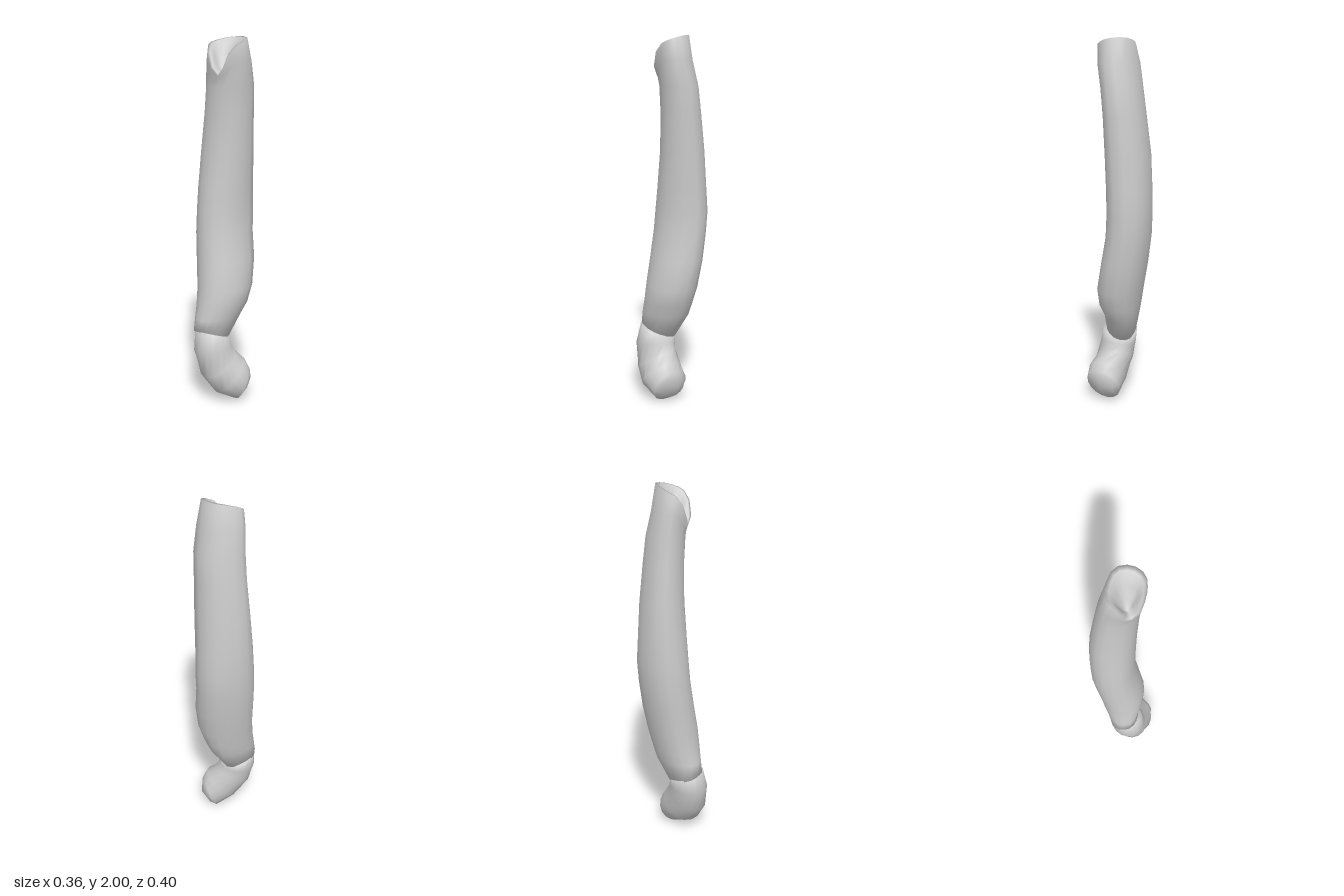
import * as THREE from 'three';

const N = 16;

// Closed skin over rings of N points (listed bottom to top), each end closed at a centre point
function loft(name, rings, startPoint, endPoint) {
  const pos = [...rings.flat(), startPoint, endPoint].flat();
  const index = [];
  const last = (rings.length - 1) * N, start = rings.length * N, end = start + 1;
  for (let i = 0; i < N; i++) {
    const j = (i + 1) % N;
    for (let r = 0; r < last; r += N) {
      index.push(r + i, r + N + i, r + j, r + j, r + N + i, r + N + j);
    }
    index.push(start, i, j, end, last + j, last + i);
  }
  const geo = new THREE.BufferGeometry();
  geo.setAttribute('position', new THREE.Float32BufferAttribute(pos, 3));
  geo.setIndex(index);
  geo.computeVertexNormals();
  const mesh = new THREE.Mesh(geo, new THREE.MeshStandardMaterial({ color: 0xcccccc, roughness: 0.8 }));
  mesh.name = name;
  return mesh;
}

const ring = (fn) => Array.from({ length: N }, (_, i) => {
  const a = (i / N) * Math.PI * 2;
  return fn(Math.cos(a), Math.sin(a));
});

// Ring from a centre and two half axes
const tilted = (c, u, v) => ring((cs, sn) => c.map((k, n) => k + u[n] * cs + v[n] * sn));

// Ring from its x and z limits; height(s) gives y, where s is 1 at the front and -1 at the back.
// ridge swells the back left corner; the front left and back right corners are a little flattened.
const level = (x0, x1, z0, z1, ridge, height) => ring((cs, sn) => {
  const d = 2 * cs * sn;
  const swell = d > 0 ? 1 - 0.07 * d * d : 1 + (cs > 0 ? ridge * d * d : 0);
  const skew = cs < 0 ? 0.025 * cs * cs : 0;
  return [
    (x0 + x1) / 2 + (x1 - x0) / 2 * cs * swell,
    height(sn),
    (z0 + z1) / 2 + (z1 - z0) / 2 * sn * swell + skew,
  ];
});

export function createModel() {
  const group = new THREE.Group();
  group.name = 'bentLimb';

  // Long shaft: y, x limits, z limits
  const sections = [
    [0.48, -0.125, 0.075, -0.1, 0.17],
    [0.55, -0.135, 0.108, -0.125, 0.155],
    [0.65, -0.145, 0.123, -0.155, 0.142],
    [0.8, -0.165, 0.103, -0.178, 0.125],
    [0.95, -0.18, 0.08, -0.19, 0.11],
    [1.07, -0.182, 0.076, -0.198, 0.1],
    [1.2, -0.18, 0.078, -0.19, 0.087],
    [1.4, -0.17, 0.086, -0.18, 0.067],
    [1.6, -0.145, 0.095, -0.165, 0.058],
    [1.74, -0.128, 0.105, -0.153, 0.06],
  ];
  const rings = [level(-0.115, 0.055, -0.02, 0.178, 0, (s) => 0.38 + 0.035 * s)];
  for (const [y, x0, x1, z0, z1] of sections) {
    rings.push(level(x0, x1, z0, z1, y < 0.7 ? 0.12 : 0.2, () => y));
  }

  // Hollow top end with a V-shaped notch at the front
  const notch = (s) => (s > 0 ? s ** 4 : 0);
  rings.push(level(-0.114, 0.118, -0.125, 0.066, 0.12, (s) => 1.87 - 0.09 * notch(s)));
  const rim = level(-0.092, 0.114, -0.107, 0.07, 0, (s) => 1.97 - 0.03 * s - 0.14 * notch(s));
  // corners either side of the notch stand forward
  for (const i of [2, 3, 5, 6]) rim[i][2] += 0.012;
  const floor = [0.005, 1.82, 0.03];
  const inward = (t, drop) => rim.map((p) => [
    p[0] + (floor[0] - p[0]) * t, p[1] + (floor[1] - p[1]) * drop, p[2] + (floor[2] - p[2]) * t]);
  rings.push(rim, inward(0.18, 0.02), inward(0.45, 0.4), inward(0.75, 0.85));
  group.add(loft('shaft', rings, [-0.03, 0.38, 0.08], floor));

  // Short bent end, from its blunt tip up to the joint
  const foot = [
    tilted([0.108, 0.1, -0.055], [0.055, 0, 0.045], [-0.02, -0.07, 0.01]),
    tilted([0.095, 0.095, -0.03], [0.078, -0.01, 0.068], [-0.03, -0.092, 0.025]),
    tilted([0.06, 0.145, 0.03], [0.088, 0, 0.07], [-0.045, -0.085, 0.075]),
    tilted([0.012, 0.22, 0.075], [0.1, 0, 0.03], [-0.02, -0.06, 0.1]),
    tilted([-0.012, 0.31, 0.09], [0.1, 0.01, 0], [0, -0.01, 0.11]),
    tilted([-0.022, 0.385, 0.085], [0.097, 0, 0], [0, 0.032, 0.09]),
  ];
  group.add(loft('bentEnd', foot, [0.118, 0.1, -0.085], [-0.025, 0.39, 0.085]));

  return group;
}
